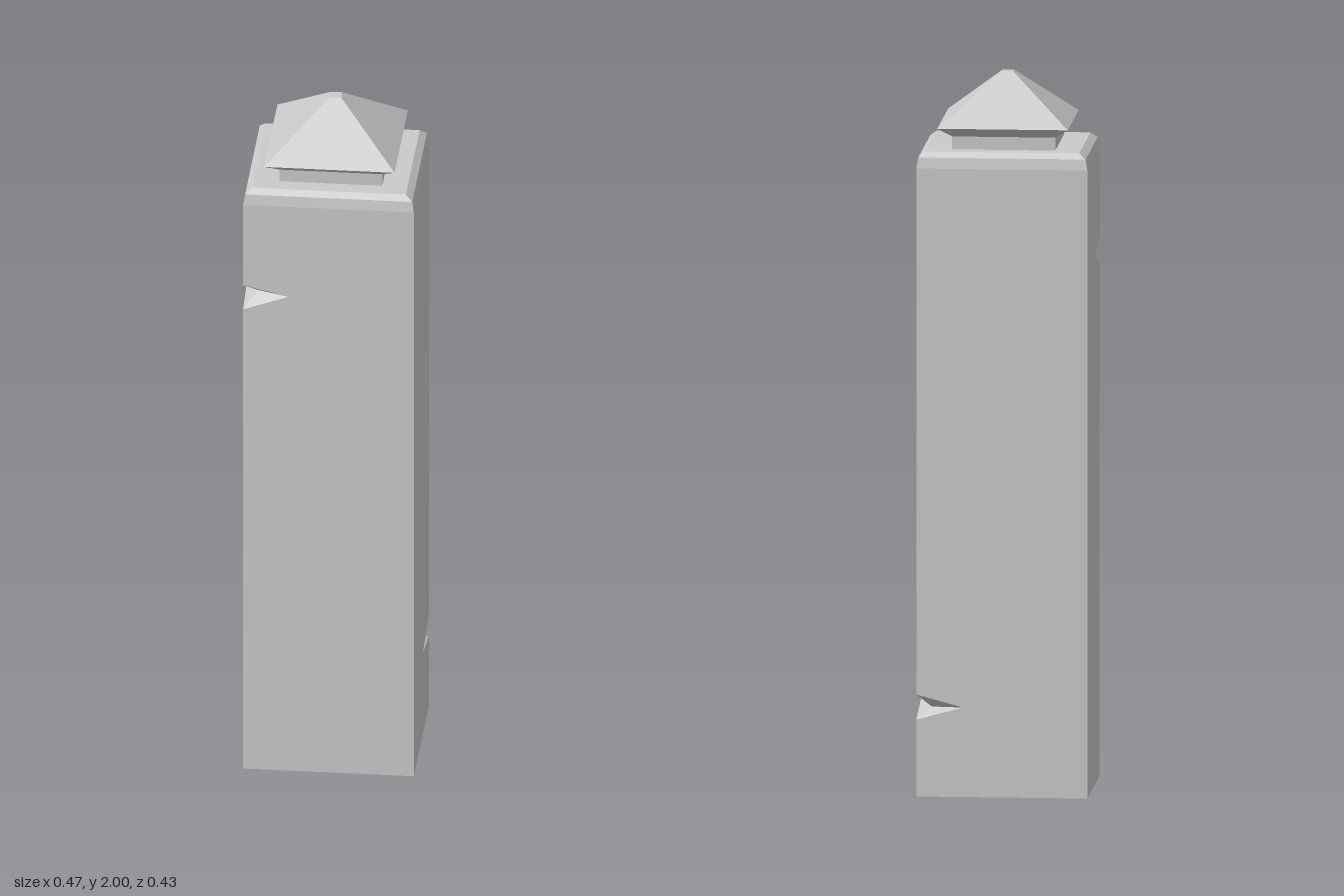
import * as THREE from 'three';

const HX = 0.237, HZ = 0.213, SIDE_TOP = 1.755;

const makeMesh = (name, pos) => {
  const g = new THREE.BufferGeometry();
  g.setAttribute('position', new THREE.Float32BufferAttribute(pos, 3));
  g.computeVertexNormals();
  const m = new THREE.Mesh(g, new THREE.MeshStandardMaterial({ color: 0xcccccc, flatShading: true }));
  m.name = name;
  return m;
};

// Flat polygon: 2D outline (counter-clockwise from outside) mapped to 3D
const polygon = (pos, outline, to3D) => {
  const pts = outline.map(([u, v]) => new THREE.Vector2(u, v));
  for (const tri of THREE.ShapeUtils.triangulateShape(pts, []))
    for (const i of tri) pos.push(...to3D(pts[i].x, pts[i].y));
};

// Rectangular rings [halfX, halfZ, y] joined bottom to top
const corners = ([x, z, y]) => [[-x, y, z], [x, y, z], [x, y, -z], [-x, y, -z]];
const loft = (pos, rings, capBottom) => {
  for (let r = 0; r < rings.length - 1; r++) {
    const a = corners(rings[r]), b = corners(rings[r + 1]);
    for (let i = 0; i < 4; i++) {
      const j = (i + 1) % 4;
      pos.push(...a[i], ...a[j], ...b[j], ...a[i], ...b[j], ...b[i]);
    }
  }
  const t = corners(rings[rings.length - 1]);
  pos.push(...t[0], ...t[1], ...t[2], ...t[0], ...t[2], ...t[3]);
  if (capBottom) {
    const b = corners(rings[0]);
    pos.push(...b[0], ...b[2], ...b[1], ...b[0], ...b[3], ...b[2]);
  }
};

// Chipped corners: upper one at (-x, +z), lower one at (+x, -z)
const upper = { s: 1, top: 1.505, mid: 1.475, low: 1.43, dx: 0.127, dz: 0.16 };
const lower = { s: -1, top: 0.285, mid: 0.25, low: 0.215, dx: 0.13, dz: 0.168 };

function createPost() {
  const pos = [];
  for (const c of [upper, lower]) {
    const s = c.s;
    // Wide face, chipped along its left edge
    polygon(pos, [[-HX, 0], [HX, 0], [HX, SIDE_TOP], [-HX, SIDE_TOP],
      [-HX, c.top], [-HX + c.dx, c.mid], [-HX, c.low]], (u, v) => [u * s, v, HZ * s]);
    // Narrow face, chipped along its right edge
    polygon(pos, [[-HZ, 0], [HZ, 0], [HZ, c.low], [HZ - c.dz, c.mid], [HZ, c.top],
      [HZ, SIDE_TOP], [-HZ, SIDE_TOP]], (u, v) => [-HX * s, v, u * s]);
    // Four walls inside the chip
    const T = [-HX * s, c.top, HZ * s], B = [-HX * s, c.low, HZ * s];
    const P = [(-HX + c.dx) * s, c.mid, HZ * s], Q = [-HX * s, c.mid, (HZ - c.dz) * s];
    const C = [(-HX + 0.04) * s, c.mid - 0.004, (HZ - 0.04) * s];
    pos.push(...T, ...C, ...P, ...T, ...Q, ...C, ...B, ...P, ...C, ...B, ...C, ...Q);
  }
  // Bevelled shoulder and top
  loft(pos, [[HX, HZ, SIDE_TOP], [0.232, 0.208, 1.785], [0.213, 0.194, 1.8]], false);
  // Underside
  const b = corners([HX, HZ, 0]);
  pos.push(...b[0], ...b[2], ...b[1], ...b[0], ...b[3], ...b[2]);
  return makeMesh('post', pos);
}

// Neck, flared eave and pyramid roof
function createCap() {
  const pos = [];
  loft(pos, [[0.143, 0.148, 1.79], [0.143, 0.148, 1.836], [0.181, 0.188, 1.863], [0.016, 0.016, 2]], true);
  return makeMesh('cap', pos);
}

export function createModel() {
  const group = new THREE.Group();
  group.name = 'stonePost';
  group.add(createPost(), createCap());
  return group;
}
